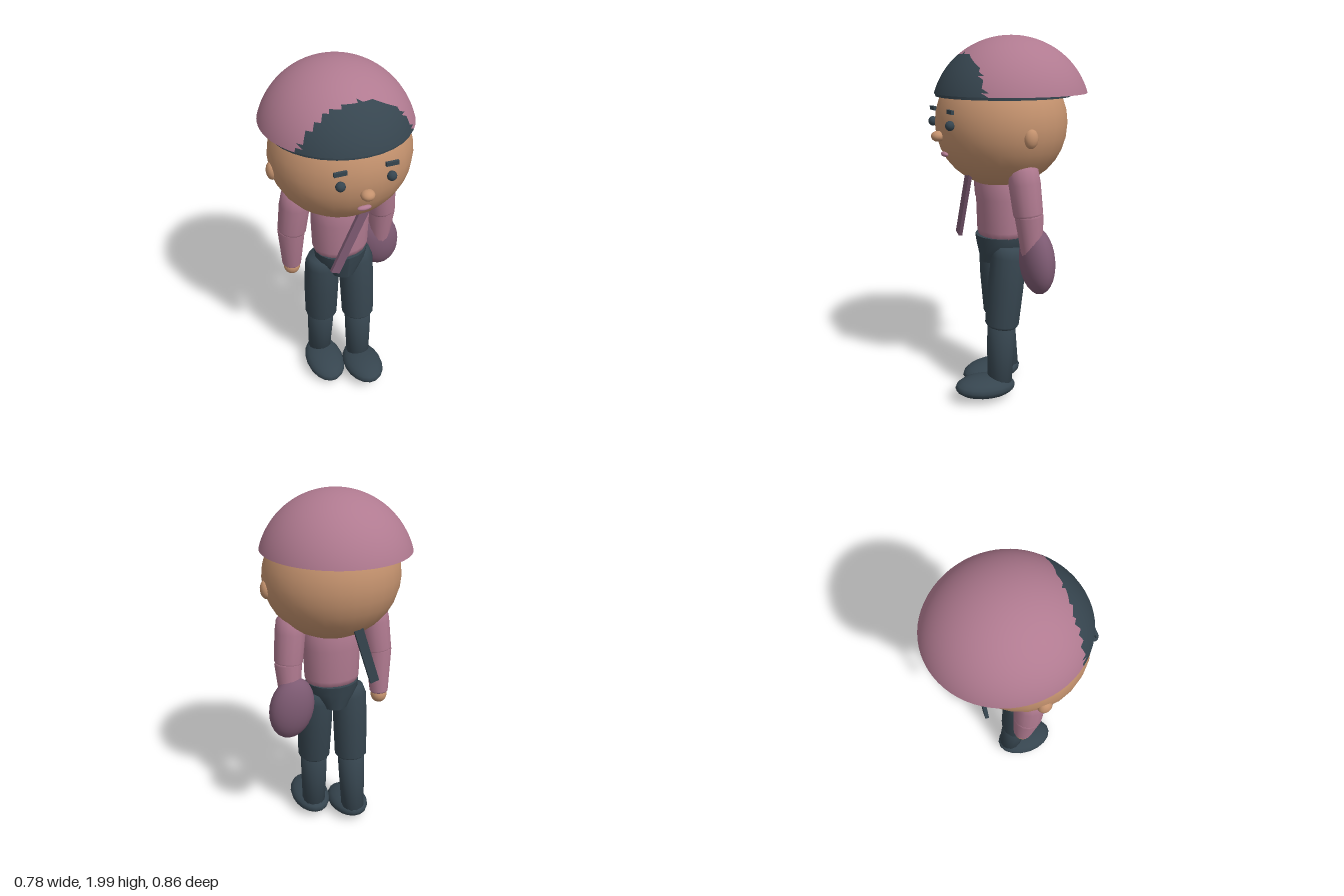
import * as THREE from 'three';

const mat = (name, color, side = THREE.FrontSide) => {
  const m = new THREE.MeshStandardMaterial({ color, side });
  m.name = name;
  return m;
};

export function createModel() {
  const pink = mat('dusty pink', 0xb07a90, THREE.DoubleSide);
  const dark = mat('charcoal blue', 0x36454f, THREE.DoubleSide);
  const skin = mat('tan skin', 0xc4926e);
  const plum = mat('plum', 0x7d5a72);
  const model = new THREE.Group();
  model.name = 'capWearingFigure';

  const add = (name, geometry, material, pos = [0, 0, 0], rot = [0, 0, 0]) => {
    const mesh = new THREE.Mesh(geometry, material);
    mesh.name = name;
    mesh.position.set(...pos);
    mesh.rotation.set(...rot);
    model.add(mesh);
    return mesh;
  };
  const ball = (name, material, pos, radii, rot, seg = 16) =>
    add(name, new THREE.SphereGeometry(1, seg, Math.max(8, seg * 0.6 | 0)).scale(...radii), material, pos, rot);

  // Round limb running from a low point to a high point; profile = [radius, fraction of length]
  const limb = (name, material, low, high, profile) => {
    const a = new THREE.Vector3(...low), dir = new THREE.Vector3(...high).sub(a);
    const length = dir.length();
    const pts = profile.map(([r, t]) => new THREE.Vector2(r, t * length));
    const mesh = add(name, new THREE.LatheGeometry(pts, 14), material, low);
    mesh.quaternion.setFromUnitVectors(new THREE.Vector3(0, 1, 0), dir.normalize());
  };

  // Flat strap between two points in a plane of constant z
  const strap = (name, material, [x0, y0], [x1, y1], z) => {
    const len = Math.hypot(x1 - x0, y1 - y0);
    const angle = Math.atan2(x1 - x0, y1 - y0);
    add(name, new THREE.BoxGeometry(0.05, len, 0.02), material,
      [(x0 + x1) / 2, (y0 + y1) / 2, z], [0, 0, -angle]);
  };

  // Head and face
  ball('head', skin, [0, 1.55, 0.037], [0.37, 0.342, 0.35], [0, 0, 0], 28);
  ball('nose', skin, [0, 1.495, 0.392], [0.036, 0.028, 0.036]);
  ball('mouth', pink, [0, 1.4, 0.358], [0.038, 0.013, 0.016]);
  for (const s of [-1, 1]) {
    const side = s > 0 ? 'left' : 'right';
    ball(side + 'Ear', skin, [s * 0.36, 1.505, 0.038], [0.03, 0.05, 0.037]);
    ball(side + 'Eye', dark, [s * 0.13, 1.56, 0.373], [0.025, 0.025, 0.024]);
    add(side + 'Eyebrow', new THREE.BoxGeometry(0.065, 0.02, 0.015), dark, [s * 0.13, 1.628, 0.37]);
  }

  // Hair band showing under the cap
  add('hairBand', new THREE.CylinderGeometry(1, 1, 0.03, 32).scale(0.366, 1, 0.355), dark, [0, 1.706, 0.025]);

  // Domed cap: faces near the front take the dark colour
  const R = 0.405, capY = 1.595;
  const dome = new THREE.SphereGeometry(R, 64, 24, 0, Math.PI * 2, 0, Math.acos((1.705 - capY) / R))
    .scale(1, 1, 1.05);
  const p = dome.attributes.position, index = dome.index.array;
  const crown = [], front = [];
  for (let i = 0; i < index.length; i += 3) {
    const tri = [index[i], index[i + 1], index[i + 2]];
    const z = (p.getZ(tri[0]) + p.getZ(tri[1]) + p.getZ(tri[2])) / 3;
    (z > 0.268 ? front : crown).push(...tri);
  }
  dome.setIndex([...crown, ...front]);
  dome.clearGroups();
  dome.addGroup(0, crown.length, 0);
  dome.addGroup(crown.length, front.length, 1);
  add('cap', dome, [pink, dark], [0, capY, -0.022]);

  // Torso
  add('torso', new THREE.LatheGeometry([[0, 0.92], [0.145, 0.925], [0.157, 0.97], [0.163, 1.15], [0.16, 1.28], [0.1, 1.34], [0, 1.35]]
    .map(([r, y]) => new THREE.Vector2(r, y)), 18).scale(1, 1, 0.82), pink, [0, 0, 0.037]);

  // Hips: wide at the waist, narrowing between the legs
  const hips = new THREE.CylinderGeometry(1, 1, 0.15, 16, 3);
  const h = hips.attributes.position;
  for (let i = 0; i < h.count; i++) {
    const t = h.getY(i) / 0.15 + 0.5;
    h.setX(i, h.getX(i) * (0.085 + 0.065 * Math.min(1, t * 1.4)));
    h.setZ(i, h.getZ(i) * (0.12 + 0.023 * t));
  }
  hips.computeVertexNormals();
  add('hips', hips, dark, [0, 0.865, 0.037]);

  // Legs in a slight stride, the left one forward
  const thigh = [[0, 0], [0.08, 0], [0.094, 0.035], [0.099, 0.5], [0.095, 0.85], [0.075, 0.97], [0, 1]];
  const shin = [[0, 0], [0.068, 0], [0.075, 0.5], [0.08, 1], [0, 1]];
  const legs = [
    ['left', 0.098, 0.08, 0.095, [0.095, 0.083, 0.18], -0.08],
    ['right', -0.105, 0, -0.045, [-0.108, 0.068, 0.055], 0.06],
  ];
  for (const [side, x, kneeZ, ankleZ, foot, tilt] of legs) {
    limb(side + 'Thigh', dark, [x, 0.43, kneeZ], [x, 0.9, 0.03], thigh);
    limb(side + 'Shin', dark, [x, 0.07, ankleZ], [x, 0.47, kneeZ], shin);
    ball(side + 'Shoe', dark, foot, [0.114, 0.061, 0.177], [tilt, 0, 0], 18);
  }

  // Arms and hands
  const upper = [[0, 0], [0.07, 0], [0.078, 0.06], [0.083, 0.6], [0.078, 0.83], [0.05, 0.96], [0, 1]];
  const fore = [[0, 0], [0.045, 0], [0.053, 0.04], [0.075, 0.93], [0.066, 1], [0, 1]];
  for (const s of [-1, 1]) {
    const side = s > 0 ? 'left' : 'right';
    limb(side + 'UpperArm', pink, [s * 0.263, 1.085, 0], [s * 0.232, 1.378, 0.025], upper);
    limb(side + 'Forearm', pink, [s * 0.265, 0.835, -0.025], [s * 0.265, 1.11, 0], fore);
    ball(side + 'Hand', skin, [s * 0.265, 0.818, -0.025], [0.046, 0.048, 0.046]);
  }

  // Shoulder bag and its straps
  ball('bag', plum, [0.267, 0.843, -0.05], [0.125, 0.18, 0.088], [0, 0, 0.2], 24);
  strap('frontStrap', plum, [-0.11, 0.935], [0.065, 1.33], 0.245);
  strap('backStrap', dark, [-0.155, 1.0], [-0.045, 1.35], -0.2);

  return model;
}
